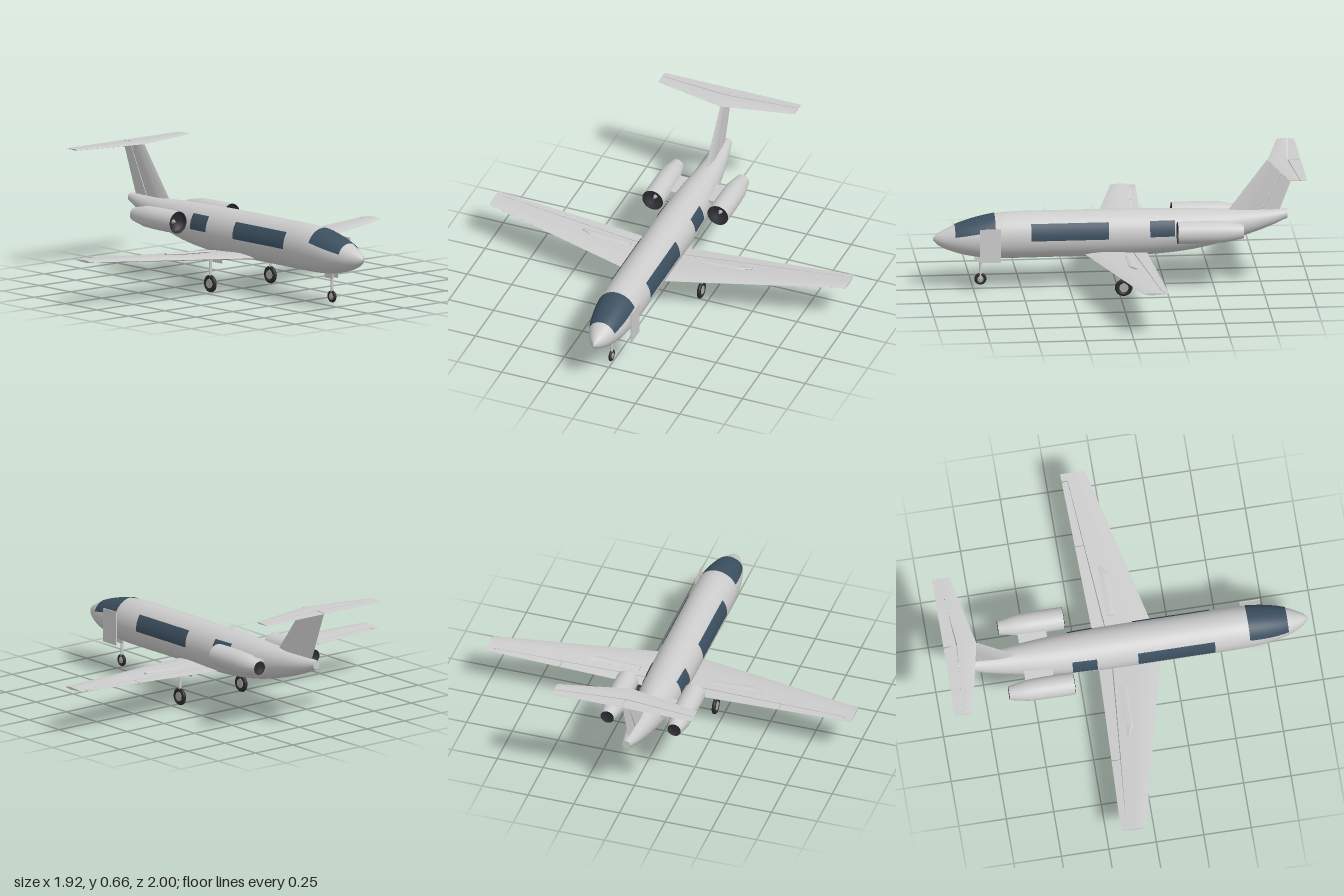
import * as THREE from 'three';
import { toCreasedNormals } from 'three/addons/utils/BufferGeometryUtils.js';
import { ParametricGeometry } from 'three/addons/geometries/ParametricGeometry.js';

const { lerp } = THREE.MathUtils;

// Fuselage stations: x, bottom, top, half width
const STATIONS = [
  [-0.89, 0.342, 0.388, 0.022], [-0.8, 0.302, 0.389, 0.043], [-0.6, 0.235, 0.394, 0.074],
  [-0.4, 0.189, 0.402, 0.098], [-0.2, 0.168, 0.407, 0.109], [0, 0.165, 0.409, 0.111],
  [0.3, 0.165, 0.41, 0.111], [0.58, 0.165, 0.407, 0.11], [0.66, 0.168, 0.398, 0.106],
  [0.76, 0.18, 0.375, 0.094], [0.85, 0.203, 0.345, 0.071], [0.91, 0.227, 0.317, 0.044],
  [0.945, 0.249, 0.297, 0.021], [0.96, 0.267, 0.28, 0.004],
];
const hull = new THREE.CubicInterpolant(STATIONS.map(s => s[0]), STATIONS.flatMap(s => s.slice(1)), 3);

function hullAt(x) {
  const [lo, hi, w] = hull.evaluate(x);
  return { cy: (lo + hi) / 2, ry: (hi - lo) / 2, w };
}

function hullPoint(x, angle, grow, target) {
  const { cy, ry, w } = hullAt(x);
  target.set(x, cy + (ry + grow) * Math.sin(angle), (w + grow) * Math.cos(angle));
}

function hullAngle(x, y) {
  const { cy, ry } = hullAt(x);
  return Math.asin(THREE.MathUtils.clamp((y - cy) / ry, -1, 1));
}

// Closed solid through cross-section loops of equal length, turned outward
function loft(loops, crease = 0.6) {
  const n = loops[0].length;
  const tris = [];
  for (let k = 0; k < loops.length - 1; k++) {
    for (let i = 0; i < n; i++) {
      const j = (i + 1) % n;
      const [a, b, c, d] = [loops[k][i], loops[k][j], loops[k + 1][j], loops[k + 1][i]];
      tris.push([a, b, c], [a, c, d]);
    }
  }
  const first = loops[0], last = loops[loops.length - 1];
  for (let i = 1; i < n - 1; i++) {
    tris.push([first[0], first[i + 1], first[i]], [last[0], last[i], last[i + 1]]);
  }
  const origin = first[0];
  const volume = tris.reduce((sum, t) => {
    const [a, b, c] = t.map(p => p.clone().sub(origin));
    return sum + a.dot(b.cross(c));
  }, 0);
  if (volume < 0) tris.forEach(t => t.reverse());
  const geo = new THREE.BufferGeometry().setFromPoints(tris.flat());
  return toCreasedNormals(geo, crease);
}

// Aerofoil piece between chord fractions f0..f1 and span fractions s0..s1
const profile = f => 0.04 + 0.96 * Math.min(1, Math.sqrt(f / 0.3)) * Math.min(1, (1 - f) / 0.65);
function foil(root, tip, axis, f0, f1, s0 = 0, s1 = 1) {
  const section = s => {
    const le = new THREE.Vector3(...root.le).lerp(new THREE.Vector3(...tip.le), s);
    const te = new THREE.Vector3(...root.te).lerp(new THREE.Vector3(...tip.te), s);
    const half = lerp(root.t, tip.t, s) / 2;
    const loop = [], steps = 8;
    for (const side of [1, -1]) {
      for (let i = 0; i <= steps; i++) {
        const k = side > 0 ? i / steps : 1 - i / steps;
        const f = lerp(f0, f1, k);
        loop.push(le.clone().lerp(te, f).addScaledVector(axis, side * half * profile(f)));
      }
    }
    return loop;
  };
  return loft([section(s0), section(s1)]);
}

export function createModel() {
  const model = new THREE.Group();
  model.name = 'businessJet';
  const mat = (name, color, side = THREE.FrontSide) =>
    Object.assign(new THREE.MeshStandardMaterial({ color, side }), { name });
  const paint = mat('lightGreyPaint', 0xcccccc, THREE.DoubleSide);
  const glass = mat('blueGreyGlass', 0x3c5060, THREE.DoubleSide);
  const dark = mat('darkIntake', 0x2c2c32, THREE.DoubleSide);
  const rubber = mat('tyreRubber', 0x2a2a2a);
  const metal = mat('gearMetal', 0xa8a8a8);

  const add = (name, geo, material, x = 0, y = 0, z = 0, parent = model) => {
    const mesh = new THREE.Mesh(geo, material);
    mesh.name = name;
    mesh.position.set(x, y, z);
    parent.add(mesh);
    return mesh;
  };

  // Fuselage and flat tail end
  add('fuselage', new ParametricGeometry((u, v, p) =>
    hullPoint(lerp(-0.89, 0.96, u), v * Math.PI * 2, 0, p), 80, 40), paint);
  const cap = add('tailEnd', new THREE.CircleGeometry(1, 24).rotateY(-Math.PI / 2), paint, -0.89, 0.365, 0);
  cap.scale.set(1, 0.023, 0.022);

  // Wraparound windscreen
  add('windscreen', new ParametricGeometry((u, v, p) => {
    const x = lerp(0.64, 0.848, u);
    const a = hullAngle(x, lerp(0.335, 0.297, u));
    hullPoint(x, lerp(a, Math.PI - a, v), 0.003, p);
  }, 16, 32), glass);

  // Cabin window bands on both sides
  for (const side of [1, -1]) {
    for (const [x0, x1, lo, hi] of [[0.05, 0.455, 0.28, 0.365], [-0.295, -0.165, 0.286, 0.365]]) {
      add('cabinWindow', new ParametricGeometry((u, v, p) => {
        const x = lerp(x0, x1, u);
        hullPoint(x, lerp(hullAngle(x, lo), hullAngle(x, hi), v), 0.003, p);
        p.z *= side;
      }, 12, 8), glass);
    }
  }

  // Cabin door panel
  add('cabinDoor', new THREE.BoxGeometry(0.108, 0.18, 0.005), paint, 0.67, 0.26, -0.114);

  const up = new THREE.Vector3(0, 1, 0), across = new THREE.Vector3(0, 0, 1);
  for (const side of [1, -1]) {
    // Wing with flap, aileron and tip block
    const root = { le: [0.175, 0.187, 0.05 * side], te: [-0.153, 0.187, 0.05 * side], t: 0.032 };
    const tip = { le: [-0.055, 0.243, side], te: [-0.185, 0.243, side], t: 0.013 };
    const span = z => (z - 0.05) / 0.95;
    add('wing', foil(root, tip, up, 0, 0.77), paint);
    add('flap', foil(root, tip, up, 0.785, 1, span(0.05), span(0.598)), paint);
    add('aileron', foil(root, tip, up, 0.785, 1, span(0.602), span(0.955)), paint);
    add('wingTipBlock', foil(root, tip, up, 0.77, 1, span(0.96), 1), paint);

    // Spoiler plate with a pointed outer end
    const rib = (z, front, y) => ({ le: [front, y, z * side], te: [-0.072, y, z * side], t: 0.012 });
    const [a, b, c] = [rib(0.2, -0.025, 0.212), rib(0.42, -0.025, 0.223), rib(0.475, -0.055, 0.226)];
    add('spoiler', foil(a, b, up, 0, 1), paint);
    add('spoilerEnd', foil(b, c, up, 0, 1), paint);

    // Tailplane and elevator
    const tailRoot = { le: [-0.787, 0.655, 0], te: [-0.96, 0.655, 0], t: 0.012 };
    const tailTip = { le: [-0.868, 0.655, 0.382 * side], te: [-0.96, 0.655, 0.382 * side], t: 0.007 };
    add('tailplane', foil(tailRoot, tailTip, up, 0, 0.58), paint);
    add('elevator', foil(tailRoot, tailTip, up, 0.61, 1, 0.01), paint);

    // Engine nacelle, intake, fan hub, exhaust and pylon
    const engine = new THREE.Group();
    engine.name = 'engine';
    engine.position.set(0, 0.327, 0.183 * side);
    model.add(engine);
    const lathe = pts => new THREE.LatheGeometry(pts.map(q => new THREE.Vector2(...q)), 32).rotateZ(-Math.PI / 2);
    add('nacelle', lathe([[0.036, -0.645], [0.046, -0.595], [0.055, -0.55], [0.058, -0.48],
      [0.059, -0.38], [0.058, -0.302]]), paint, 0, 0, 0, engine);
    add('intake', lathe([[0.058, -0.302], [0.055, -0.3], [0.052, -0.305], [0.05, -0.34], [0, -0.34]]),
      dark, 0, 0, 0, engine);
    add('fanHub', new THREE.ConeGeometry(0.012, 0.025, 16).rotateZ(-Math.PI / 2), metal, -0.328, 0, 0, engine);
    add('exhaust', lathe([[0.036, -0.645], [0.033, -0.63], [0, -0.63]]), dark, 0, 0, 0, engine);
    add('pylon', new THREE.BoxGeometry(0.15, 0.018, 0.07), paint, -0.475, 0, -0.08 * side, engine);
  }

  // Fin and rudder
  const finRoot = { le: [-0.57, 0.375, 0], te: [-0.846, 0.375, 0], t: 0.026 };
  const finTop = { le: [-0.782, 0.655, 0], te: [-0.952, 0.655, 0], t: 0.014 };
  add('fin', foil(finRoot, finTop, across, 0, 0.64), paint);
  add('rudder', foil(finRoot, finTop, across, 0.66, 1), paint);

  // Landing gear legs with wheels and doors
  const gear = (name, x, z, r, width, axleY, top) => {
    const leg = new THREE.Group();
    leg.name = name;
    leg.position.set(x, 0, z);
    model.add(leg);
    const tube = width * 0.5;
    const tyre = add('tyre', new THREE.TorusGeometry(r - tube, tube, 12, 32), rubber, 0, axleY, 0, leg);
    tyre.scale.z = 0.95;
    const hub = (rad, w) => new THREE.CylinderGeometry(rad, rad, w, 24).rotateX(Math.PI / 2);
    add('wheelDisc', hub(r - tube, width * 0.6), rubber, 0, axleY, 0, leg);
    add('wheelHub', hub(r * 0.52, width * 0.85), metal, 0, axleY, 0, leg);
    add('strut', new THREE.CylinderGeometry(0.008, 0.008, top - axleY, 12), paint, 0, (top + axleY) / 2, 0, leg);
  };
  gear('noseGear', 0.712, 0, 0.032, 0.016, 0.052, 0.19);
  for (const side of [1, -1]) {
    gear('mainGear', -0.018, 0.206 * side, 0.046, 0.022, 0.046, 0.198);
    add('mainGearDoor', new THREE.BoxGeometry(0.075, 0.034, 0.004), paint, -0.02, 0.167, 0.155 * side);
    add('noseGearDoor', new THREE.BoxGeometry(0.06, 0.03, 0.004), paint, 0.71, 0.165, 0.02 * side);
  }
  return model;
}
